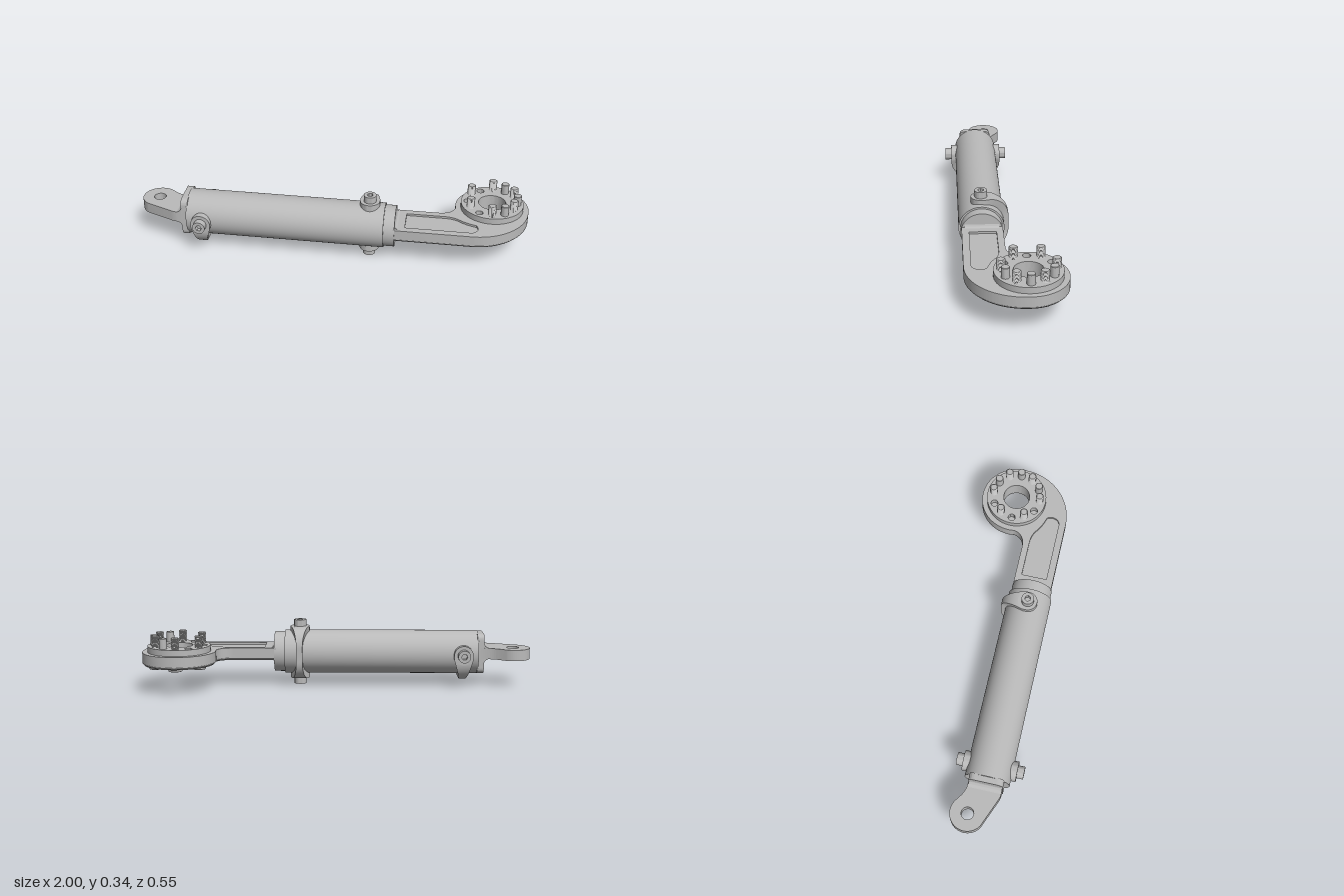
import * as THREE from 'three';
import { toCreasedNormals } from 'three/addons/utils/BufferGeometryUtils.js';

const AY = 0.17, AZ = 0.104; // main axis of the tube, running along x
const RX = 0.813, RZ = -0.087; // centre of the bolt ring

export function createModel() {
  const root = new THREE.Group();
  const steel = new THREE.MeshStandardMaterial({ color: 0xbababa });
  steel.name = 'steel grey';

  const add = (name, geo, parent = root) => {
    const m = new THREE.Mesh(toCreasedNormals(geo, 0.6), steel);
    m.name = name;
    parent.add(m);
    return m;
  };
  // plan shape (x, -z) raised from y0 to y1
  const slab = (shape, y0, y1, bevel = 0) => {
    const g = new THREE.ExtrudeGeometry(shape, {
      depth: y1 - y0 - 2 * bevel, curveSegments: 32, bevelEnabled: bevel > 0,
      bevelSize: bevel, bevelThickness: bevel, bevelOffset: -bevel, bevelSegments: 1
    });
    return g.translate(0, 0, bevel).rotateX(-Math.PI / 2).translate(0, y0, 0);
  };
  const hole = (shape, x, y, r) => shape.holes.push(new THREE.Path().absarc(x, y, r, 0, Math.PI * 2, true));
  const disc = (r) => new THREE.Shape().absarc(0, 0, r, 0, Math.PI * 2, false);
  // cylinder along the main axis
  const barrel = (name, r, x0, x1) =>
    add(name, new THREE.CylinderGeometry(r, r, x1 - x0, 64).rotateZ(Math.PI / 2).translate((x0 + x1) / 2, AY, AZ));

  // round bolt head with a hexagonal socket, pointing up from y = 0
  const capHead = (r, h, bevel) => {
    const s = disc(r), p = new THREE.Path();
    for (let i = 0; i < 6; i++) {
      const a = -i * Math.PI / 3, q = r * 0.5;
      if (i) p.lineTo(q * Math.cos(a), q * Math.sin(a)); else p.moveTo(q, 0);
    }
    p.closePath();
    s.holes.push(p);
    return slab(s, 0, h, bevel);
  };

  // Main tube and the plug on the arm side
  barrel('tube', 0.114, -0.73, 0.28);
  barrel('armPlug', 0.105, 0.27, 0.335);

  // Straps follow a rounded square, narrow in the middle, with a bolted boss at both ends
  const strapRadius = (a) => {
    const half = 0.137, c = 0.037, R = 0.1;
    const u = Math.abs(Math.cos(a)), v = Math.abs(Math.sin(a));
    const big = Math.max(u, v), small = Math.min(u, v);
    if (small / big * half < c) return half / big;
    const p = c * (u + v);
    return p + Math.sqrt(R * R - 2 * c * c + p * p);
  };
  const strapBand = () => {
    const N = 48, pos = [], idx = [];
    for (let i = 0; i <= N; i++) {
      const a = Math.PI * i / N, ro = strapRadius(a), d = ro * Math.sin(a);
      const w = 0.05 - 0.034 * Math.max(0, (d - 0.02) / 0.117);
      for (const [x, r] of [[-w, ro], [w, ro], [w, 0.1], [-w, 0.1]]) {
        pos.push(x, r * Math.cos(a), -r * Math.sin(a));
      }
    }
    for (let i = 0; i < N; i++) {
      for (let k = 0; k < 4; k++) {
        const a = i * 4 + k, b = i * 4 + (k + 1) % 4;
        idx.push(a, b, b + 4, a, b + 4, a + 4);
      }
    }
    const g = new THREE.BufferGeometry();
    g.setAttribute('position', new THREE.Float32BufferAttribute(pos, 3));
    g.setIndex(idx);
    g.computeVertexNormals();
    return g;
  };
  const strap = (name, x, turn) => {
    const g = new THREE.Group();
    g.name = name;
    add('strapBand', strapBand(), g);
    for (const side of [0, Math.PI]) {
      const end = new THREE.Group();
      end.name = 'strapEnd';
      end.rotation.x = side;
      add('boss', new THREE.CylinderGeometry(0.05, 0.05, 0.067, 40).translate(0, 0.1035, 0), end);
      add('bossBolt', capHead(0.032, 0.034, 0).translate(0, 0.137, 0), end);
      add('socketFloor', new THREE.CylinderGeometry(0.02, 0.02, 0.01, 24).translate(0, 0.145, 0), end);
      g.add(end);
    }
    g.position.set(x, AY, AZ);
    g.rotation.x = turn;
    root.add(g);
  };
  strap('armStrap', 0.202, 0);
  strap('eyeStrap', -0.65, -Math.PI / 2);

  // Concave fillets above and below a plate, where it meets an end face
  const fillets = (name, x, dir, yLow, yHigh, r, width) => {
    for (const [y, up] of [[yHigh, 1], [yLow, -1]]) {
      const s = new THREE.Shape();
      s.moveTo(x, y);
      s.lineTo(x + dir * r, y);
      s.quadraticCurveTo(x + dir * r * 0.2, y + up * r * 0.2, x, y + up * r);
      s.closePath();
      add(name, new THREE.ExtrudeGeometry(s, { depth: width, bevelEnabled: false, curveSegments: 10 })
        .translate(0, 0, AZ - width / 2));
    }
  };

  // Eye end: rounded end plate and the mounting eye
  const hz = 0.087, hy = 0.104, c = 0.035;
  const plate = new THREE.Shape();
  plate.moveTo(-hz + c, -hy);
  plate.lineTo(hz - c, -hy);
  plate.quadraticCurveTo(hz, -hy, hz, -hy + c);
  plate.lineTo(hz, hy - c);
  plate.quadraticCurveTo(hz, hy, hz - c, hy);
  plate.lineTo(-hz + c, hy);
  plate.quadraticCurveTo(-hz, hy, -hz, hy - c);
  plate.lineTo(-hz, -hy + c);
  plate.quadraticCurveTo(-hz, -hy, -hz + c, -hy);
  add('endPlate', new THREE.ExtrudeGeometry(plate, { depth: 0.035, bevelEnabled: false, curveSegments: 10 })
    .rotateY(Math.PI / 2).translate(-0.76, AY, AZ));

  const eye = new THREE.Shape();
  eye.moveTo(-0.74, -0.188);
  eye.lineTo(-0.74, -0.017);
  eye.lineTo(-0.785, -0.015);
  eye.quadraticCurveTo(-0.81, -0.01, -0.83, 0.002);
  eye.absarc(-0.912, -0.048, 0.088, 0.95, 4.18, false);
  eye.lineTo(-0.82, -0.179);
  eye.quadraticCurveTo(-0.80, -0.188, -0.78, -0.188);
  eye.closePath();
  hole(eye, -0.912, -0.048, 0.031);
  add('mountingEye', slab(eye, 0.145, 0.202));
  fillets('eyeFillet', -0.76, -1, 0.145, 0.202, 0.025, 0.168);

  // Offset arm: solid web between two layers that leave a pocket on each face
  const armShape = (pocket) => {
    const s = new THREE.Shape();
    s.moveTo(0.325, -0.204);
    s.lineTo(0.72, -0.204);
    s.absarc(0.72, 0.076, 0.28, -Math.PI / 2, 0, false);
    s.absarc(RX, -RZ, 0.187, 0, Math.PI * 1.05, false);
    s.quadraticCurveTo(0.615, -0.002, 0.54, -0.002);
    s.lineTo(0.325, -0.002);
    s.closePath();
    hole(s, RX, -RZ, 0.07);
    if (pocket) {
      const p = new THREE.Path();
      p.moveTo(0.385, -0.035);
      p.lineTo(0.585, -0.035);
      p.quadraticCurveTo(0.625, -0.037, 0.65, -0.055);
      p.quadraticCurveTo(0.69, -0.085, 0.74, -0.097);
      p.quadraticCurveTo(0.755, -0.125, 0.745, -0.145);
      p.quadraticCurveTo(0.735, -0.168, 0.71, -0.168);
      p.lineTo(0.385, -0.168);
      p.closePath();
      s.holes.push(p);
    }
    return s;
  };
  add('armWeb', slab(armShape(false), 0.151, 0.193));
  add('armTopRim', slab(armShape(true), 0.19, 0.204));
  add('armBottomRim', slab(armShape(true), 0.139, 0.159, 0.009));
  fillets('armFillet', 0.335, 1, 0.141, 0.204, 0.014, 0.17);

  // Bolt ring: threaded bolts, with plain pins on the outer side and open holes on the inner side
  const ring = new THREE.Group();
  ring.name = 'boltRing';
  ring.position.set(RX, 0, RZ);
  root.add(ring);

  const thread = [new THREE.Vector2(0, 0.228)];
  for (let i = 0; i < 11; i++) {
    thread.push(new THREE.Vector2(0.017, 0.229 + i * 0.0058), new THREE.Vector2(0.021, 0.232 + i * 0.0058));
  }
  thread.push(new THREE.Vector2(0.017, 0.293), new THREE.Vector2(0, 0.293));
  const pin = [[0, 0.225], [0.02, 0.225], [0.02, 0.286], [0.018, 0.288], [0, 0.288]]
    .map(([r, y]) => new THREE.Vector2(r, y));

  const flange = disc(0.16);
  hole(flange, 0, 0, 0.07);
  for (let i = 0; i < 12; i++) {
    const a = i * Math.PI / 6, x = 0.126 * Math.sin(a), z = 0.126 * Math.cos(a);
    if (i % 2 === 0) {
      add('threadedBolt', new THREE.LatheGeometry(thread, 20).translate(x, 0, z), ring);
      add('boltHead', capHead(0.035, 0.018, 0.002).rotateX(Math.PI).translate(x, 0.142, z), ring);
      add('socketFloor', new THREE.CylinderGeometry(0.022, 0.022, 0.006, 20).translate(x, 0.137, z), ring);
    } else if (x > 0) {
      add('plainPin', new THREE.LatheGeometry(pin, 20).translate(x, 0, z), ring);
    } else {
      hole(flange, x, -z, 0.019);
    }
  }
  add('flange', slab(flange, 0.2, 0.235), ring);
  return root;
}
